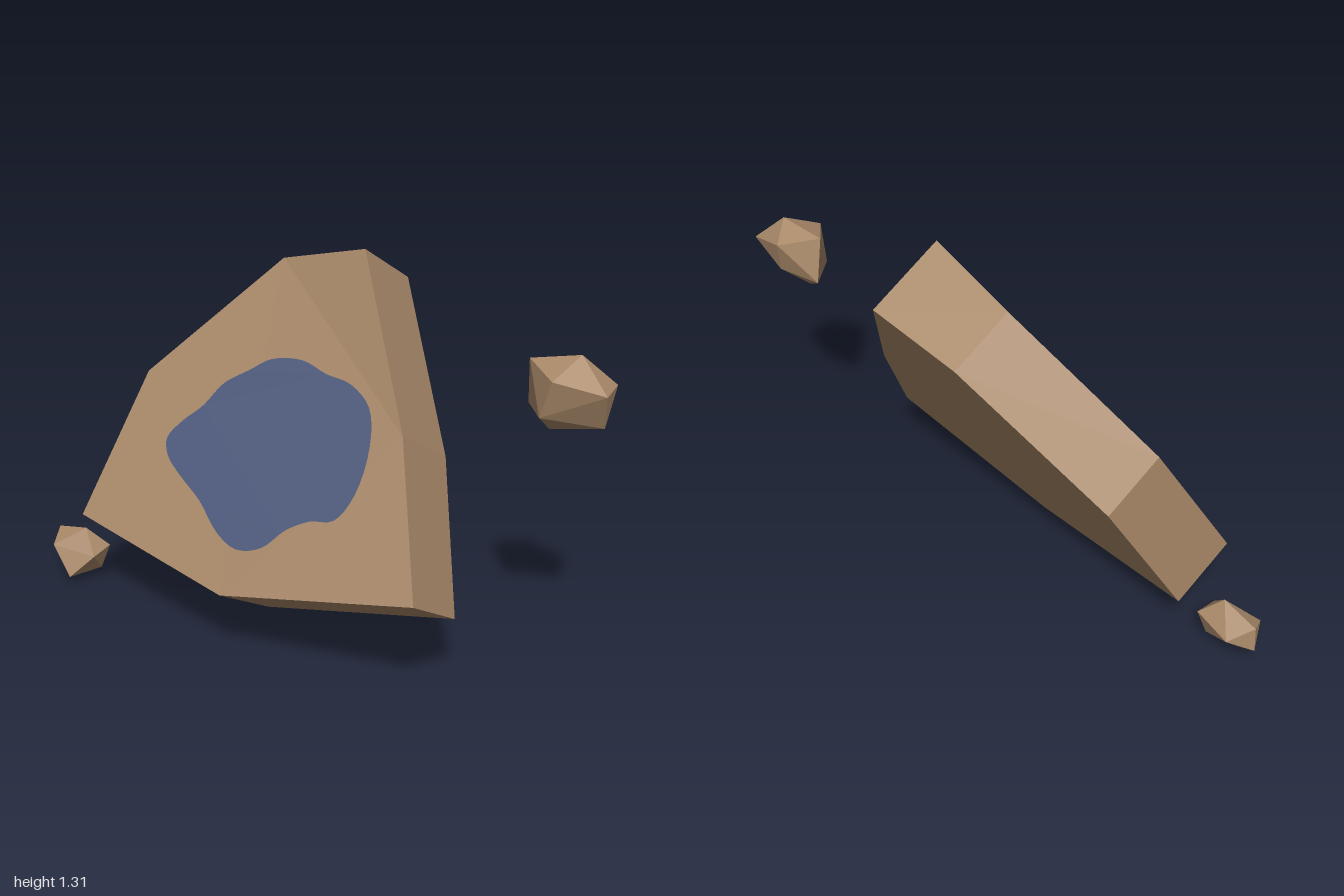
import * as THREE from 'three';
import { ConvexGeometry } from 'three/addons/geometries/ConvexGeometry.js';

const rock = new THREE.MeshStandardMaterial({ color: 0xa88868, flatShading: true });
rock.name = 'tan rock';
const water = new THREE.MeshStandardMaterial({ color: 0x4f5a7c, side: THREE.DoubleSide });
water.name = 'slate blue';

// Slab outline, counter-clockwise: x, height along the slab, thickness
const outline = [
  [-0.75, 0.1, 0.255], [-0.035, 0, 0.29], [0.665, 0.167, 0.28], [0.455, 0.66, 0.295],
  [0.1, 1.226, 0.295], [-0.25, 1.158, 0.243], [-0.675, 0.662, 0.243],
];
// Front face triangles, with a slight fold near the top right
const faces = [[0, 1, 5], [0, 5, 6], [1, 3, 5], [1, 2, 3], [3, 4, 5]];

// Thickness of the main front face at a point
const faceDepth = (x, v) => 0.2918 + 0.0519 * x - 0.031 * v;

function slabGeometry() {
  const pos = [];
  const n = outline.length;
  const front = (i) => outline[i];
  const back = (i) => [outline[i][0], outline[i][1], 0];
  const tri = (a, b, c) => pos.push(...a, ...b, ...c);
  for (const [a, b, c] of faces) {
    tri(front(a), front(b), front(c));
    tri(back(a), back(c), back(b));
  }
  for (let i = 0; i < n; i++) {
    const j = (i + 1) % n;
    tri(back(i), back(j), front(j));
    tri(back(i), front(j), front(i));
  }
  const g = new THREE.BufferGeometry();
  g.setAttribute('position', new THREE.Float32BufferAttribute(pos, 3));
  g.computeVertexNormals();
  return g;
}

// Smooth closed patch laid on the front face
function patchGeometry() {
  const pts = [
    [-0.485, 0.615], [-0.44, 0.68], [-0.375, 0.74], [-0.32, 0.82], [-0.23, 0.88], [-0.15, 0.93],
    [-0.02, 0.95], [0.09, 0.93], [0.2, 0.92], [0.3, 0.87], [0.35, 0.77], [0.355, 0.63],
    [0.31, 0.545], [0.22, 0.52], [0.14, 0.475], [0.07, 0.405], [-0.03, 0.375], [-0.13, 0.4],
    [-0.25, 0.47], [-0.37, 0.52], [-0.455, 0.565],
  ].map(([x, y]) => {
    const v = (y - 0.1 - 0.5 * faceDepth(x, 0.55)) / 0.866;
    return new THREE.Vector3(x, v, 0);
  });
  const loop = new THREE.CatmullRomCurve3(pts, true).getPoints(84).slice(0, -1);
  const g = new THREE.ShapeGeometry(new THREE.Shape(loop.map((p) => new THREE.Vector2(p.x, p.y))));
  const p = g.attributes.position;
  for (let i = 0; i < p.count; i++) p.setZ(i, faceDepth(p.getX(i), p.getY(i)) + 0.004);
  g.computeVertexNormals();
  return g;
}

// Faceted stones from their corner points
const largeStone = [
  [0.875, 1.08, -0.24], [0.795, 0.83, -0.205], [1, 0.985, -0.177], [0.975, 0.865, -0.225],
  [0.845, 1.02, -0.11], [0.795, 1.035, -0.325], [0.97, 0.985, -0.305], [0.715, 1.05, -0.2],
  [0.7, 0.89, -0.235], [0.8, 0.89, -0.125], [0.83, 0.915, -0.3],
];
const smallStone = [
  [-0.99, 0.165, 0.25], [-0.85, 0.195, 0.25], [-0.777, 0.11, 0.288], [-0.81, 0.035, 0.22],
  [-0.915, 0.003, 0.278], [-1, 0.075, 0.245], [-0.848, 0.03, 0.347], [-0.95, 0.125, 0.325],
  [-0.933, 0.11, 0.176], [-0.784, 0.125, 0.197],
];

function addMesh(parent, name, geometry, material) {
  const mesh = new THREE.Mesh(geometry, material);
  mesh.name = name;
  parent.add(mesh);
}

export function createModel() {
  const model = new THREE.Group();
  model.name = 'rockCluster';

  // Slab leaning back by thirty degrees
  const slab = new THREE.Group();
  slab.name = 'leaningSlab';
  slab.position.set(0, 0.1, 0.185);
  slab.rotation.x = -Math.PI / 6;
  addMesh(slab, 'slabBody', slabGeometry(), rock);
  addMesh(slab, 'bluePatch', patchGeometry(), water);
  model.add(slab);

  // Loose stones on either side
  const stone = (pts) => new ConvexGeometry(pts.map((p) => new THREE.Vector3(...p)));
  addMesh(model, 'leftStone', stone(largeStone), rock);
  addMesh(model, 'rightStone', stone(smallStone), rock);
  return model;
}
